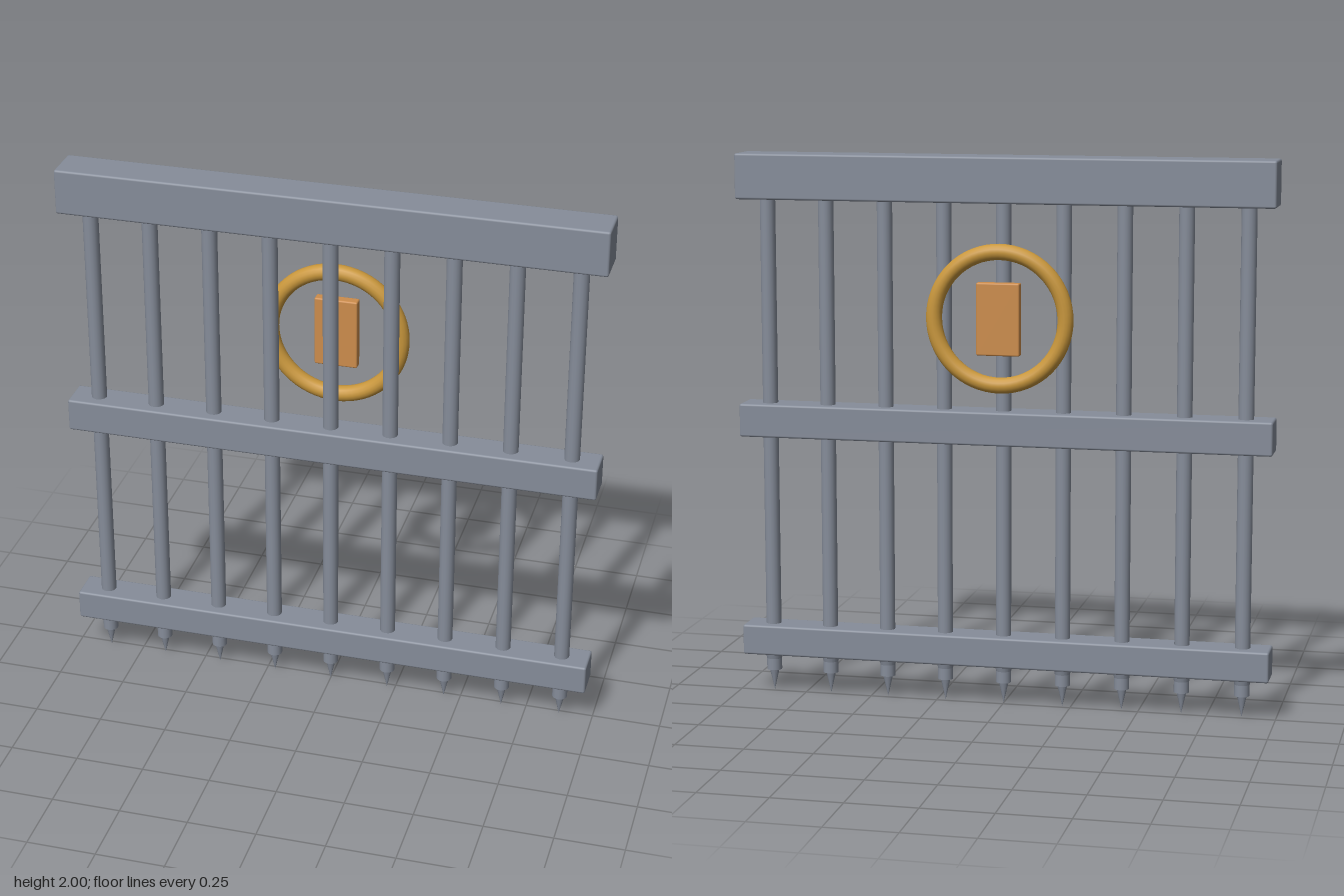
import * as THREE from 'three';
import { RoundedBoxGeometry } from 'three/addons/geometries/RoundedBoxGeometry.js';

function material(name, color) {
  const m = new THREE.MeshStandardMaterial({ color });
  m.name = name;
  return m;
}

export function createModel() {
  const model = new THREE.Group();
  model.name = 'portcullis';
  const iron = material('grey iron', 0x868d9a);
  const gold = material('gold', 0xc9973c);
  const copper = material('copper', 0xcd8d4c);
  const gateZ = 0.015;

  function add(name, geometry, mat, x, y, z, parent = model) {
    const mesh = new THREE.Mesh(geometry, mat);
    mesh.name = name;
    mesh.position.set(x, y, z);
    parent.add(mesh);
    return mesh;
  }

  // Horizontal beams: bottom y, top y, depth
  const beams = [
    ['topBeam', 1.835, 2.0, 0.147],
    ['middleBeam', 0.965, 1.087, 0.125],
    ['bottomBeam', 0.145, 0.257, 0.125],
  ];
  for (const [name, y0, y1, depth] of beams) {
    add(name, new RoundedBoxGeometry(1.955, y1 - y0, depth, 2, 0.008), iron, 0, (y0 + y1) / 2, gateZ);
  }

  // Vertical bars, each with a spike whose base is sunk into the bottom beam
  const barBottom = 0.08, barTop = 1.9, spikeHeight = 0.17;
  const barGeometry = new THREE.CylinderGeometry(0.028, 0.028, barTop - barBottom, 16);
  const spikeGeometry = new THREE.ConeGeometry(0.039, spikeHeight, 16);
  spikeGeometry.rotateX(Math.PI);
  for (let i = -4; i <= 4; i++) {
    const post = new THREE.Group();
    post.name = 'post';
    post.position.set(i * 0.219, 0, gateZ);
    add('bar', barGeometry, iron, 0, (barBottom + barTop) / 2, 0, post);
    add('spike', spikeGeometry, iron, 0, spikeHeight / 2, 0, post);
    model.add(post);
  }

  // Emblem on the back: ring around a small plate
  add('emblemRing', new THREE.TorusGeometry(0.239, 0.029, 16, 64), gold, 0, 1.427, -0.056);
  add('emblemPlate', new RoundedBoxGeometry(0.157, 0.26, 0.038, 2, 0.006), copper, 0, 1.428, -0.07);

  return model;
}
